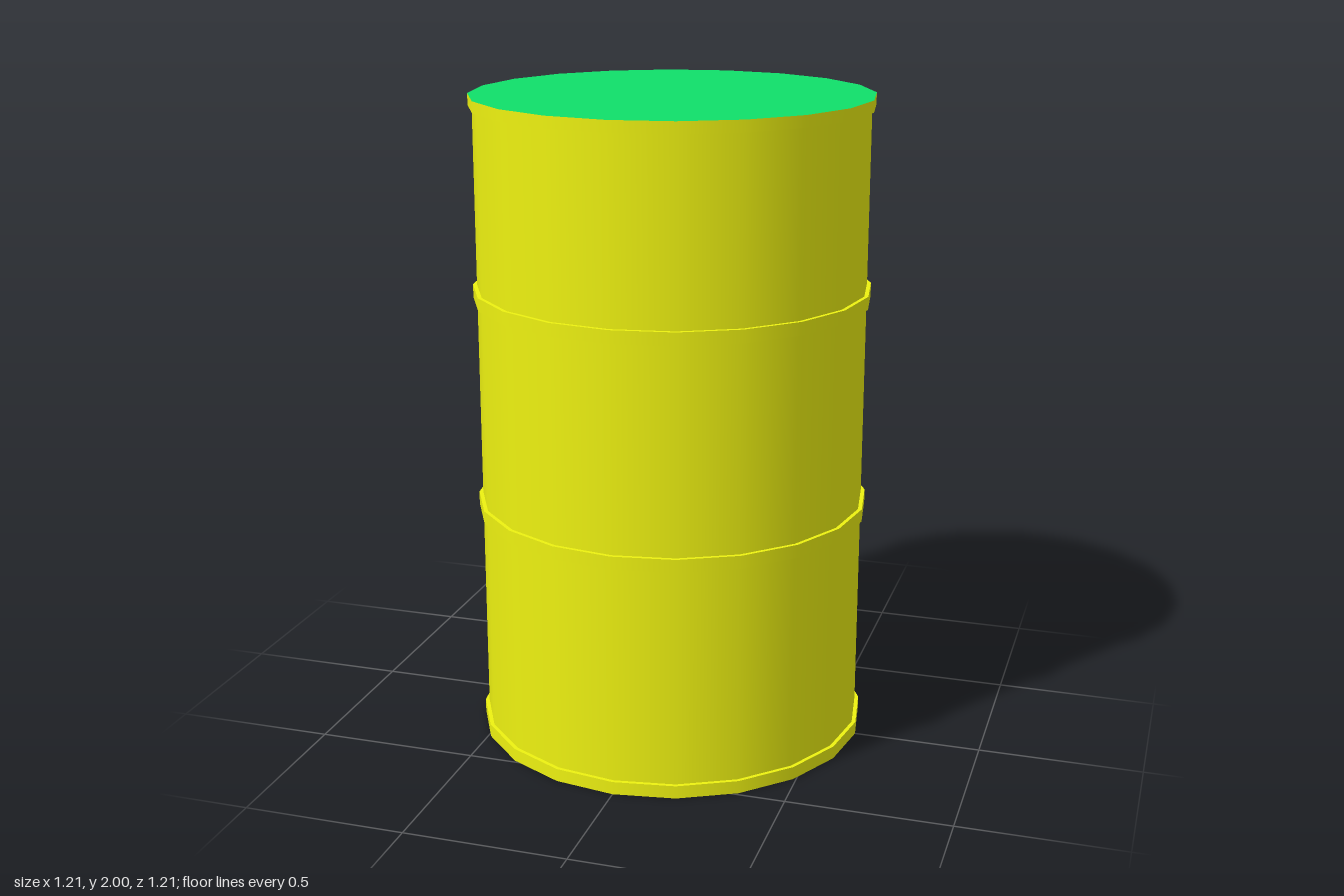
import * as THREE from 'three';

const SIDES = 20;
const BODY_RADIUS = 0.595;
const RIM_RADIUS = 0.607;

export function createModel() {
  const drum = new THREE.Group();
  drum.name = 'drum';
  const yellow = new THREE.MeshStandardMaterial({ color: 0xeef211 });
  const green = new THREE.MeshStandardMaterial({ color: 0x10e06a });

  const add = (name, geometry, material, y) => {
    const mesh = new THREE.Mesh(geometry, material);
    mesh.name = name;
    mesh.position.y = y;
    drum.add(mesh);
    return mesh;
  };

  // Smooth-sided wall
  add('body', new THREE.CylinderGeometry(BODY_RADIUS, BODY_RADIUS, 1.98, SIDES, 1, true), yellow, 1);

  // Raised hoops: bottom rim, two ribs, top rim
  const hoops = [
    ['bottomRim', 0, 0.04],
    ['lowerRib', 0.715, 0.755],
    ['upperRib', 1.382, 1.422],
    ['topRim', 1.965, 2],
  ];
  for (const [name, low, high] of hoops) {
    const geometry = new THREE.CylinderGeometry(RIM_RADIUS, RIM_RADIUS, high - low, SIDES);
    // The top rim's upper face is the coloured lid
    const material = name === 'topRim' ? [yellow, green, yellow] : yellow;
    add(name, geometry, material, (low + high) / 2);
  }

  return drum;
}
